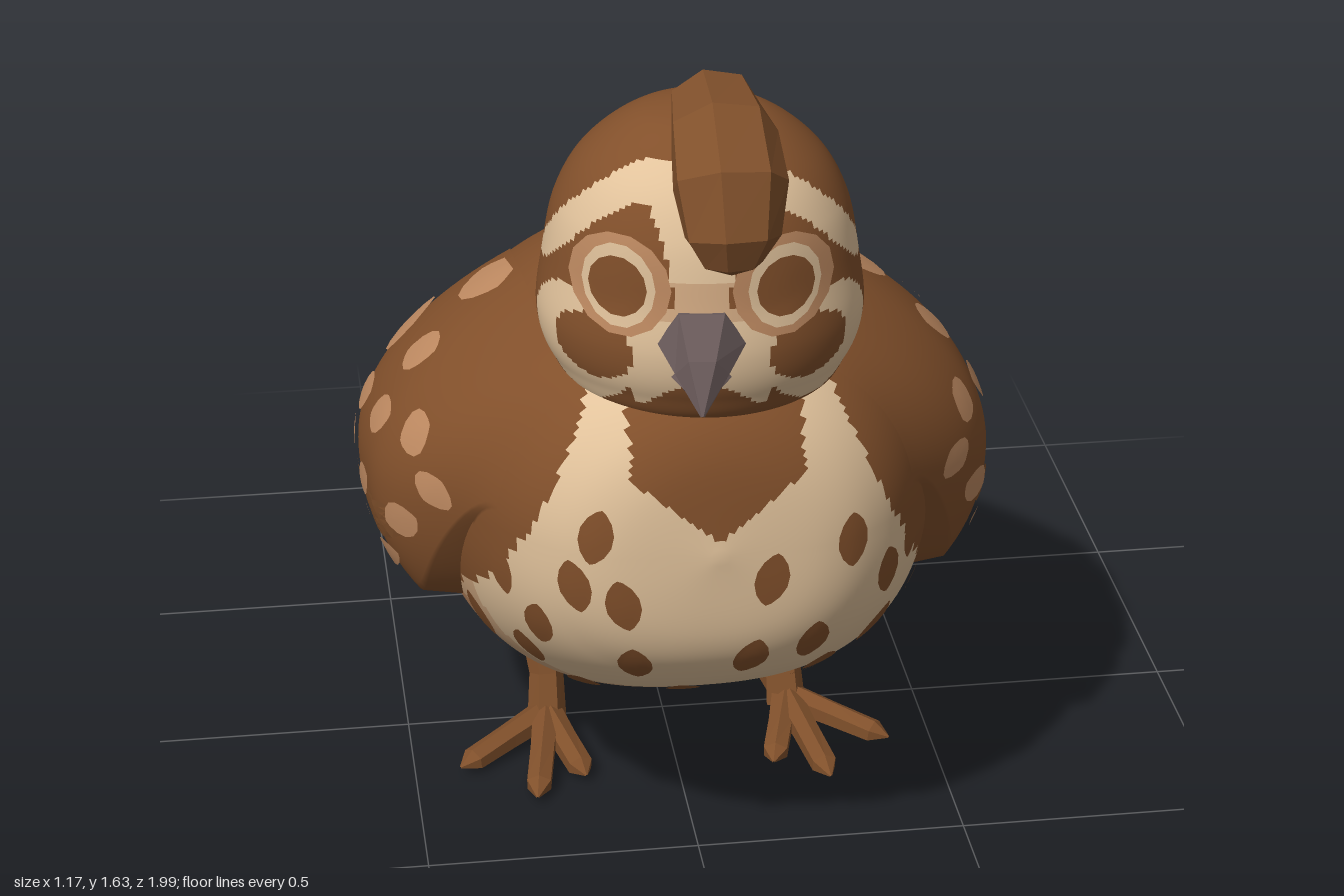
import * as THREE from 'three';
import { mergeVertices } from 'three/addons/utils/BufferGeometryUtils.js';

const V = (x, y, z) => new THREE.Vector3(x, y, z);
const smooth = THREE.MathUtils.smoothstep;

// Grid of nu x nv cells from a point rule, welded so that seams stay smooth
function grid(nu, nv, rule, flip = false) {
  const pos = [], idx = [];
  for (let i = 0; i <= nu; i++)
    for (let j = 0; j <= nv; j++) pos.push(...rule(i / nu, j / nv).toArray());
  for (let i = 0; i < nu; i++)
    for (let j = 0; j < nv; j++) {
      const a = i * (nv + 1) + j, b = a + nv + 1;
      idx.push(...(flip ? [a, a + 1, b, b, a + 1, b + 1] : [a, b, a + 1, b, b + 1, a + 1]));
    }
  let geo = new THREE.BufferGeometry();
  geo.setAttribute('position', new THREE.Float32BufferAttribute(pos, 3));
  geo.setIndex(idx);
  geo = mergeVertices(geo, 1e-5);
  geo.computeVertexNormals();
  return geo;
}

// Sort quads into material groups by a rule on the quad centre
function paint(geo, count, rule) {
  const p = geo.attributes.position, src = geo.index.array;
  const buckets = Array.from({ length: count }, () => []);
  for (let i = 0; i < src.length; i += 6) {
    const c = V(0, 0, 0), quad = src.slice(i, i + 6);
    quad.forEach(k => c.add(V(0, 0, 0).fromBufferAttribute(p, k)));
    c.divideScalar(6);
    buckets[rule(Math.abs(c.x), c.y, c.z)].push(...quad);
  }
  let start = 0;
  buckets.forEach((b, m) => { geo.addGroup(start, b.length, m); start += b.length; });
  geo.setIndex(buckets.flat());
  return geo;
}

// Tapered tube through points with elliptical radii [along ref, across]
function sweep(points, radii, sides, ref) {
  const n = points.length - 1;
  return grid(n, sides, (u, v) => {
    const i = Math.round(u * n);
    const t = points[Math.min(i + 1, n)].clone().sub(points[Math.max(i - 1, 0)]).normalize();
    const a = ref.clone().addScaledVector(t, -t.dot(ref)).normalize();
    const b = a.clone().cross(t), ang = (v % 1) * Math.PI * 2;
    return points[i].clone().addScaledVector(a, radii[i][0] * Math.cos(ang)).addScaledVector(b, radii[i][1] * Math.sin(ang));
  });
}

// Thin leaf or disc laid on a target surface by casting rays along dir
function decal(target, origin, dir, len, wid, angle, lift, point = 1.5) {
  const right = dir.clone().cross(Math.abs(dir.y) > 0.95 ? V(0, 0, -1) : V(0, 1, 0)).normalize();
  const up = right.clone().cross(dir), ray = new THREE.Raycaster();
  let last = origin;
  return grid(3, 14, (r, v) => {
    const a = (v % 1) * Math.PI * 2, s = Math.sin(a);
    const lx = r * len * Math.cos(a), ly = r * wid * Math.sign(s) * Math.abs(s) ** point;
    const x = lx * Math.cos(angle) - ly * Math.sin(angle), y = lx * Math.sin(angle) + ly * Math.cos(angle);
    ray.set(origin.clone().addScaledVector(right, x).addScaledVector(up, y), dir);
    const hit = ray.intersectObject(target, false)[0];
    if (hit) last = hit.point.clone().addScaledVector(hit.face.normal, lift);
    return last.clone();
  });
}

export function createModel() {
  const model = new THREE.Group();
  model.name = 'quail';
  const mat = (name, color, flat = false) => {
    const m = new THREE.MeshStandardMaterial({ color, flatShading: flat });
    m.name = name;
    return m;
  };
  const brown = mat('brown', 0x82502b), cream = mat('cream', 0xe2c39c);
  const sand = mat('sand', 0xd0a881), tan = mat('tan', 0xc08b62);
  const facetBrown = mat('plumeBrown', 0x80502b, true), beakGrey = mat('beakGrey', 0x675858, true);
  const add = (name, geo, material, parent = model) => {
    const m = new THREE.Mesh(geo, material);
    m.name = name;
    parent.add(m);
    return m;
  };

  // Body sections: z, top, bottom, half width
  const sections = [
    [0.748, 0.74, 0.74, 0], [0.725, 0.92, 0.56, 0.19], [0.66, 1.02, 0.46, 0.3], [0.55, 1.08, 0.375, 0.38],
    [0.4, 1.12, 0.29, 0.435], [0.2, 1.14, 0.225, 0.465], [0, 1.09, 0.21, 0.465], [-0.2, 0.985, 0.23, 0.41],
    [-0.4, 0.86, 0.3, 0.3], [-0.56, 0.755, 0.4, 0.195], [-0.7, 0.675, 0.385, 0.175], [-0.9, 0.575, 0.318, 0.125],
    [-0.965, 0.49, 0.355, 0.075], [-1, 0.4, 0.39, 0.01]];
  const heights = new THREE.CatmullRomCurve3(sections.map(s => V(s[0], s[1], s[2])), false, 'catmullrom');
  const widths = new THREE.CatmullRomCurve3(sections.map(s => V(s[0], s[3], 0)), false, 'catmullrom');
  const section = t => {
    const p = heights.getPoint(t);
    return { z: p.x, yc: (p.y + p.z) / 2, h: (p.y - p.z) / 2, w: widths.getPoint(t).y };
  };
  // Round above, fuller below
  const power = below => (below ? 2.5 : 2);
  const bodyGeo = grid(150, 128, (u, v) => {
    const s = section(u), a = (v % 1) * Math.PI * 2, e = 2 / power(v > 0.5);
    const c = Math.cos(a), n = Math.sin(a);
    return V(s.w * Math.sign(c) * Math.abs(c) ** e, s.yc + s.h * Math.sign(n) * Math.abs(n) ** e, s.z);
  });
  // Brown back and bib, pale breast and belly
  paint(bodyGeo, 4, (x, y, z) => {
    if (z < -0.57) return 0;
    if (z > 0.35) {
      if (x < 0.15 && y > 0.77 + x * 0.75) return 0;
      if (y > 0.5 && x > 0.21 + (1 - y) * 0.45) return 0;
    } else if (y > 0.5 + Math.min(0, z) * 0.1) return 0;
    const front = z + 0.25 * (y - 0.5);
    return front > 0.47 ? 1 : front > 0.36 ? 2 : 3;
  });
  const body = add('body', bodyGeo, [brown, cream, sand, tan]);

  // Wings bulge from the flanks and tuck under at the lower edge
  const bulge = v => (v > 0.97 ? -0.02 : 0.105 * Math.sin(Math.PI * v * 0.82));
  const spots = [ // z, y, half length, half width, slope
    [0.15, 1.01, 0.075, 0.035, -0.2], [0.225, 0.91, 0.052, 0.034, -0.4], [0.025, 0.87, 0.06, 0.047, -0.4],
    [0.385, 0.83, 0.036, 0.042, -0.8], [0.245, 0.8, 0.052, 0.034, -0.4], [0.075, 0.765, 0.062, 0.034, -0.4],
    [0.455, 0.753, 0.03, 0.038, -1], [0.38, 0.66, 0.045, 0.032, -0.5], [0.215, 0.66, 0.058, 0.03, -0.5],
    [0.02, 0.66, 0.07, 0.036, -0.4], [0.29, 0.55, 0.06, 0.026, -0.4], [0.13, 0.55, 0.09, 0.028, -0.4],
    [-0.24, 0.55, 0.17, 0.038, -0.4], [-0.03, 0.51, 0.12, 0.026, -0.25], [-0.2, 0.46, 0.14, 0.022, -0.1],
    [-0.42, 0.46, 0.12, 0.024, -0.1], [0.12, 0.465, 0.1, 0.017, -0.12]];
  const flights = [[0.3, 0.62], [0.17, 0.61], [0.02, 0.58], [-0.12, 0.54], [-0.14, 0.63], [-0.3, 0.5]];
  for (const s of [1, -1]) {
    const side = s > 0 ? 'left' : 'right';
    const wing = add(side + 'Wing', grid(60, 40, (u, v) => {
      const c = section((2.8 + u * 6.4) / 13);
      const top = c.yc + 0.8 * c.h;
      const low = 0.41 + 0.1 * Math.max(0, c.z) + 0.3 * smooth(c.z, 0.3, 0.58);
      const y = THREE.MathUtils.lerp(top, low, v), k = Math.abs(y - c.yc) / c.h, n = power(y < c.yc);
      const swell = smooth(u, 0, 0.3) * smooth(1 - u, 0, 0.45);
      return V(s * (c.w * Math.max(0, 1 - k ** n) ** (1 / n) + bulge(v) * swell + 0.004), y, c.z);
    }, s > 0), brown);
    const place = (z, y, len, wid, slope, lift) =>
      decal(wing, V(s * 2, y, z), V(-s, 0, 0), len, wid, s > 0 ? slope : Math.PI - slope, lift);
    flights.forEach(([z, y]) => add(side + 'FlightFeather', place(z, y, 0.12, 0.035, -0.4, 0.004), facetBrown));
    spots.forEach(([z, y, l, w, a]) => add(side + 'WingSpot', place(z, y, l, w, a, 0.008), tan));
    for (const [x, z] of [[0.14, 0.02], [0.19, -0.1]])
      add(side + 'BackSpot', decal(body, V(s * x, 3, z), V(0, -1, 0), 0.022, 0.02, 0, 0.005, 1), tan);
  }

  // Dark flecks over the breast, laid along its normals
  const flecks = [[0.09, 0.69], [0.235, 0.74], [-0.165, 0.65], [0.06, 0.52], [0.17, 0.54], [0.31, 0.64], [0.3, 0.5],
    [-0.14, 0.51], [-0.245, 0.68], [-0.3, 0.57], [-0.31, 0.48], [0.2, 0.44], [0.18, 0.36], [0.27, 0.345], [0.385, 0.5],
    [-0.21, 0.38], [-0.32, 0.365], [-0.04, 0.39], [-0.115, 0.315], [0.36, 0.4], [-0.385, 0.49], [-0.21, 0.78], [0.36, 0.68], [-0.36, 0.66]];
  const probe = new THREE.Raycaster();
  flecks.forEach(([x, y], i) => {
    probe.set(V(x, y, 2), V(0, 0, -1));
    const { point, face } = probe.intersectObject(body, false)[0];
    const from = point.clone().addScaledVector(face.normal, 0.5);
    add('breastFleck', decal(body, from, face.normal.clone().negate(), 0.052, 0.031,
      Math.PI / 2 + (i % 3 - 1) * 0.2, 0.006), brown);
  });

  // Head with a pale brow stripe, cheek edge and muzzle
  const head = new THREE.Group();
  head.name = 'head';
  const profile = new THREE.SplineCurve([[0, 0.94], [0.2, 0.965], [0.26, 1.03], [0.283, 1.11], [0.272, 1.21],
    [0.25, 1.32], [0.2, 1.41], [0.11, 1.48], [0, 1.503]].map(p => new THREE.Vector2(...p)));
  const outline = profile.getPoints(110);
  outline.forEach(p => { p.x = Math.max(0, p.x); });
  const skullGeo = new THREE.LatheGeometry(outline, 150).scale(1, 1, 0.9);
  paint(skullGeo, 3, (x, y, z) => {
    const phi = Math.atan2(x, z);
    const brow = 1.41 - 0.2 * smooth(phi, 0.5, 1.75);
    if (phi < 1.7 && Math.abs(y - brow) < 0.034 + 0.012 * smooth(phi, 0.5, 1.1) - 0.036 * smooth(phi, 1.2, 1.7)) return 1;
    if (phi < 1 && x < 0.05 + 0.35 * Math.max(0, y - 1.27) && y > 1.17 && y < 1.41) return y > 1.25 ? 1 : 2;
    const edge = Math.hypot((phi - 0.95) / 0.5, (y - 1.1) / 0.105);
    const patch = Math.hypot((phi - 0.78) / 0.32, (y - 1.11) / 0.06);
    if (patch < 1) return 0;
    if (edge < 1) return 1;
    if (phi < 0.5 && y > 1.04 + 0.03 * Math.cos(phi * 6) && y < 1.18) return 1;
    if (phi < 1.1 && y >= 1.15 && y < 1.2) return 2;
    return 0;
  });
  // Carry the crown slightly forward over the face
  const skullPos = skullGeo.attributes.position;
  for (let i = 0; i < skullPos.count; i++)
    skullPos.setZ(i, skullPos.getZ(i) + 0.14 * Math.max(0, skullPos.getY(i) - 1.2));
  const skull = add('skull', skullGeo, [brown, cream, sand], head);
  for (const s of [1, -1]) {
    const side = s > 0 ? 'left' : 'right';
    [['EyePatch', 0.085, 0.09, tan, 0.004], ['EyeRing', 0.06, 0.074, cream, 0.008], ['Iris', 0.047, 0.054, brown, 0.012]]
      .forEach(([n, w, h, m, lift]) => add(side + n,
        decal(skull, V(s * 0.135, 1.235, 2), V(0, 0, -1), w, h, 0, lift, 1), m, head));
  }
  // Beak: curved upper half over a short lower half
  add('upperBeak', sweep([V(0, 1.145, 0.17), V(0, 1.142, 0.24), V(0, 1.115, 0.31), V(0, 1.065, 0.37)],
    [[0.08, 0.066], [0.076, 0.064], [0.045, 0.042], [0.003, 0.003]], 6, V(1, 0, 0)), beakGrey, head);
  add('lowerBeak', sweep([V(0, 1.09, 0.18), V(0, 1.08, 0.25), V(0, 1.06, 0.32)],
    [[0.055, 0.035], [0.05, 0.032], [0.003, 0.003]], 6, V(1, 0, 0)), beakGrey, head);
  head.position.z = 0.485;
  head.rotation.y = -0.13;
  model.add(head);

  // Forward-curling crest
  const crest = [[1.45, 0.57], [1.535, 0.635], [1.57, 0.73], [1.56, 0.83], [1.505, 0.905], [1.425, 0.937], [1.38, 0.937], [1.36, 0.937]];
  add('crest', sweep(crest.map(([y, z]) => V(-0.015, y, z)),
    [[0.035, 0.03], [0.055, 0.045], [0.075, 0.06], [0.09, 0.069], [0.096, 0.07], [0.08, 0.06], [0.05, 0.035], [0.002, 0.002]],
    7, V(1, 0, 0)), facetBrown);

  // Legs and splayed toes
  for (const s of [1, -1]) {
    const side = s > 0 ? 'left' : 'right';
    add(side + 'Leg', sweep([V(s * 0.232, 0.265, -0.02), V(s * 0.235, 0.21, 0.005), V(s * 0.232, 0.12, 0.04), V(s * 0.235, 0.03, 0.07)],
      [[0.05, 0.05], [0.045, 0.04], [0.033, 0.03], [0.038, 0.036]], 6, V(1, 0, 0)), facetBrown);
    for (const [x, z] of [[0.415, 0.2], [0.28, 0.325], [0.18, 0.26], [0.225, -0.09]]) {
      const a = V(s * 0.235, 0.045, 0.065), b = V(s * x, 0.016, z);
      add(side + 'Toe', sweep([a, a.clone().lerp(b, 0.45), a.clone().lerp(b, 0.85), b],
        [[0.03, 0.03], [0.026, 0.026], [0.022, 0.026], [0.002, 0.002]], 6, V(0, 1, 0)), facetBrown);
    }
  }
  return model;
}
